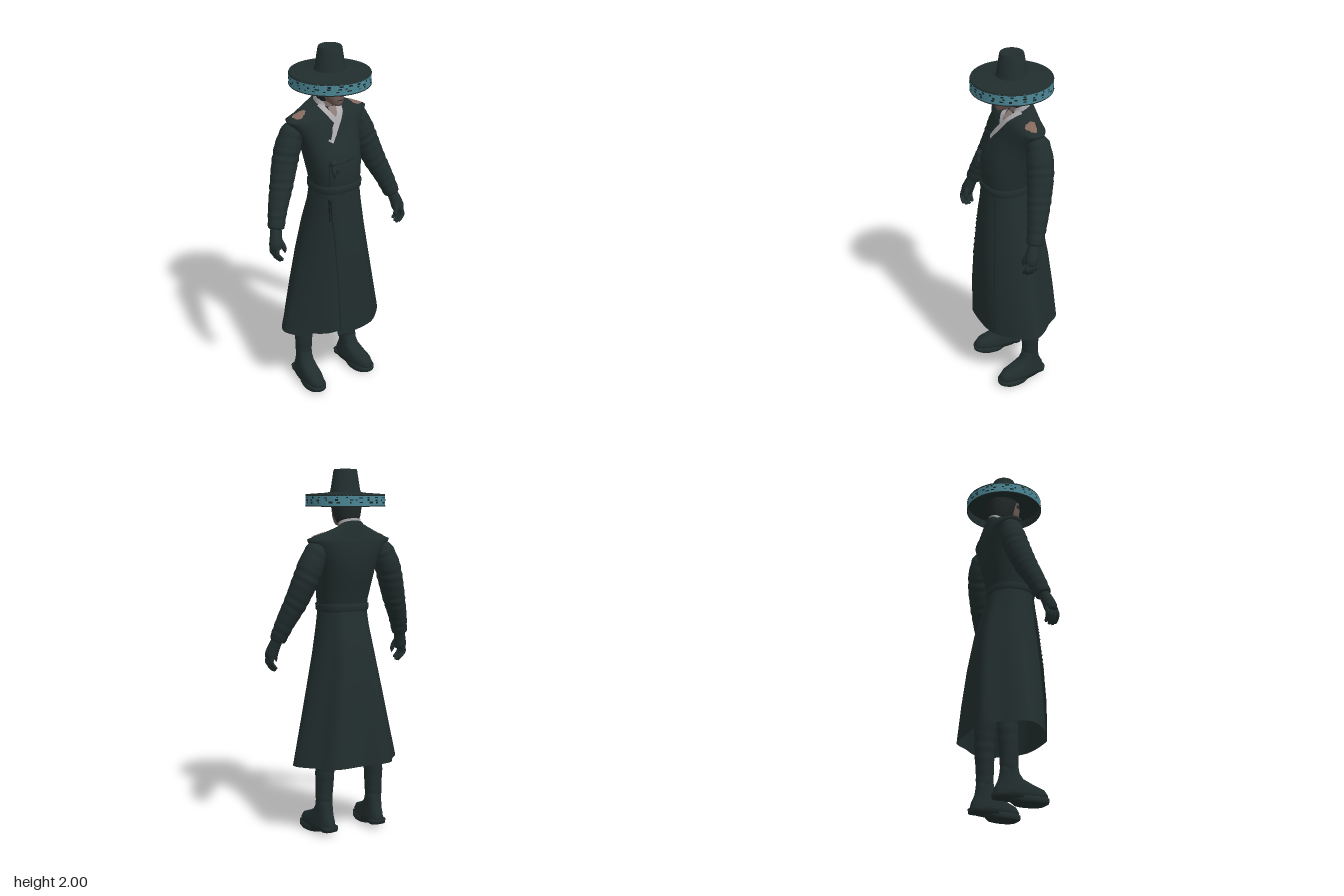
import * as THREE from 'three';
import { mergeVertices, toCreasedNormals } from 'three/addons/utils/BufferGeometryUtils.js';

const mat = (name, color) => new THREE.MeshStandardMaterial({ name, color, side: THREE.DoubleSide });
const RAD = Math.PI / 180;

// Indexed grid of points, W per row, with seams welded and smooth normals
function grid(pos, rows, W) {
  const idx = [];
  for (let j = 0; j < rows - 1; j++) for (let i = 0; i < W - 1; i++) {
    const a = j * W + i;
    idx.push(a, a + W, a + 1, a + 1, a + W, a + W + 1);
  }
  const g = new THREE.BufferGeometry();
  g.setAttribute('position', new THREE.Float32BufferAttribute(pos, 3));
  g.setIndex(idx);
  const m = mergeVertices(g, 1e-5);
  m.computeVertexNormals();
  return m;
}

// Loft through rounded sections [y, halfWidth, zFront, zBack, tilt]; a0/a1 are [bottom, top] angles.
// An optional closed plan curve shapes the bottom and blends into the rounded section at the top.
function loft(rows, { n = 2.3, a0 = [-90, -90], a1 = [270, 270], seg = 48, plan = null } = {}) {
  const pos = [], pw = (v) => Math.sign(v) * Math.abs(v) ** (2 / n);
  rows.forEach(([y, hw, zf, zb, tilt = 0], j) => {
    const v = j / (rows.length - 1), zc = (zf + zb) / 2, d = (zf - zb) / 2;
    const s = THREE.MathUtils.lerp(a0[0], a0[1], v), e = THREE.MathUtils.lerp(a1[0], a1[1], v);
    for (let i = 0; i <= seg; i++) {
      const t = s + (e - s) * i / seg;
      const p = new THREE.Vector3(pw(Math.cos(t * RAD)), pw(Math.sin(t * RAD)), 0);
      if (plan) p.lerp(plan.getPoint((t / 360) % 1), 1 - v * v);
      pos.push(hw * p.x, y + tilt * d * p.y, zc + d * p.y);
    }
  });
  return grid(pos, rows.length, seg + 1);
}

// Tube through [x, y, z, radius] points, with optional uneven cloth wrinkles
function limb(pts, { seg = 40, sides = 18, wrinkle = 0, freq = 70 } = {}) {
  const curve = new THREE.CatmullRomCurve3(pts.map((p) => new THREE.Vector3(p[0], p[1], p[2])));
  const g = new THREE.TubeGeometry(curve, seg, 1, sides), P = g.attributes.position, v = new THREE.Vector3();
  for (let i = 0; i <= seg; i++) {
    const u = i / seg, c = curve.getPointAt(u), k = curve.getUtoTmapping(u) * (pts.length - 1);
    const a = Math.min(Math.floor(k), pts.length - 2);
    const r0 = THREE.MathUtils.lerp(pts[a][3], pts[a + 1][3], k - a);
    for (let j = 0; j <= sides; j++) {
      const q = i * (sides + 1) + j, turn = Math.sin(j / sides * 2 * Math.PI);
      const r = r0 * (1 + wrinkle * Math.sin(u * freq + 1.2 * turn) * (0.6 + 0.4 * Math.sin(u * 23)));
      v.fromBufferAttribute(P, q).sub(c).multiplyScalar(r).add(c);
      P.setXYZ(q, v.x, v.y, v.z);
    }
  }
  g.computeVertexNormals();
  return g;
}

// First surface point met by a ray
function cast(targets, origin, dir) {
  const hit = new THREE.Raycaster(origin, dir).intersectObjects(targets)[0];
  return hit ? hit.point : null;
}

// Strip laid on the front of the target meshes along an [x, y] path
function ribbon(path, width, targets, lift = 0.006, seg = 20) {
  const curve = new THREE.CatmullRomCurve3(path.map((p) => new THREE.Vector3(p[0], p[1], 0)));
  const pos = [], dir = new THREE.Vector3(0, 0, -1);
  let z = 0;
  for (let i = 0; i <= seg; i++) {
    const c = curve.getPoint(i / seg), d = curve.getTangent(i / seg);
    for (const s of [-0.5, 0, 0.5]) {
      const x = c.x - d.y * s * width, y = c.y + d.x * s * width;
      z = cast(targets, new THREE.Vector3(x, y, 1), dir)?.z ?? z;
      pos.push(x, y, z + lift);
    }
  }
  return grid(pos, seg + 1, 3);
}

export function createModel() {
  const root = new THREE.Group();
  const coat = mat('dark coat', 0x212d2d), seam = mat('dark seam', 0x1a2323), hair = mat('hair', 0x212828);
  const skin = mat('skin', 0x6e5a53), linen = mat('pale collar', 0xaaa8aa), teal = mat('teal band', 0x4b8796);
  const patch = mat('shoulder patch', 0x86695d), throat = mat('throat', 0x8a7a76);
  const add = (name, geo, m, parent = root) => {
    const mesh = new THREE.Mesh(geo, m);
    mesh.name = name;
    parent.add(mesh);
    return mesh;
  };

  // Coat: bodice, belt and flared skirt with a slit on its right front
  const bodice = add('bodice', loft([
    [1.24, .132, .155, -.085], [1.30, .14, .16, -.09], [1.38, .152, .153, -.112], [1.45, .162, .13, -.128],
    [1.52, .18, .09, -.135], [1.57, .208, .07, -.133], [1.61, .238, .053, -.128], [1.627, .246, .045, -.125],
    [1.645, .2, .035, -.12], [1.67, .135, .02, -.115, -.2], [1.69, .078, .01, -.11, -.4], [1.70, .066, 0, -.105, -.5],
  ], { n: 2.4 }), coat);
  add('belt', loft([[1.232, .135, .158, -.088], [1.238, .142, .167, -.094], [1.27, .144, .169, -.097],
    [1.276, .134, .156, -.086]], { n: 2.4 }), coat);
  // Hem plan: narrow sides, flat front, two broad folds behind
  const quarter = [[.91, .31], [.74, .61], [.45, .92]], rear = [[.92, -.27], [.74, -.57], [.52, -.96]];
  const flip = (list) => list.map(([x, z]) => [-x, z]).reverse();
  const plan = new THREE.CatmullRomCurve3([[1, 0], ...quarter, [0, 1], ...flip(quarter), [-1, 0], ...rear.map(([x, z]) => [-x, z]),
    [0, -.96], ...[...rear].reverse()].map(([x, z]) => new THREE.Vector3(x, z, 0)), true);
  const skirtRows = [[.39, .32, .212, -.216, -.03], [.6, .272, .21, -.202], [.8, .225, .203, -.183], [1, .178, .19, -.153],
    [1.15, .148, .172, -.11], [1.26, .132, .157, -.085]];
  const skirt = add('skirt', loft(skirtRows, { plan, a0: [140, 139], a1: [464, 496], seg: 80 }), coat);
  add('skirtUnderPanel', loft(skirtRows.map(([y, w, f, b]) => [y + .012, w * .94, f - .018, b + .018]),
    { plan, a0: [90, 110], a1: [152, 152], seg: 16 }), coat);
  add('skirtFrontEdge', ribbon([[-.098, 1.2], [-.09, .8], [-.078, .41]], .006, [skirt], .003), seam);
  for (const s of [1, -1]) {
    add('skirtSeam', ribbon([[s * .09, 1.2], [s * .135, .8], [s * .165, .41]], .004, [skirt], .003), seam);
  }

  // Crossed pale collar and coat lapels
  const innerCollar = add('innerCollar', loft([[1.62, .07, .005, -.1], [1.70, .063, 0, -.1, -.35],
    [1.722, .06, -.002, -.098, -.35]], { a0: [115, 115], a1: [425, 425] }), linen);
  const chest = [bodice, innerCollar];
  add('throatOpening', ribbon([[.006, 1.672], [.004, 1.60]], .05, chest, .002), throat);
  add('collarUnder', ribbon([[-.055, 1.69], [-.035, 1.65], [.0, 1.60]], .03, chest, .003), linen);
  add('collarOver', ribbon([[.06, 1.69], [.03, 1.635], [-.02, 1.57], [-.06, 1.51]], .034, chest, .004), linen);
  add('lapelOver', ribbon([[.085, 1.675], [.055, 1.63], [.01, 1.565], [-.05, 1.49], [-.1, 1.41]], .022, chest, .008), coat);
  add('lapelUnder', ribbon([[-.08, 1.675], [-.062, 1.63], [-.05, 1.58], [-.072, 1.53]], .022, chest, .011), coat);
  add('frontSeam', ribbon([[-.098, 1.41], [-.1, 1.34], [-.1, 1.28]], .006, [bodice], .003), seam);

  // Chest tie with a knot and hanging tails
  const tie = new THREE.Group();
  tie.name = 'chestTie';
  root.add(tie);
  add('tieLoop', ribbon([[-.1, 1.418], [-.02, 1.43], [.045, 1.438]], .038, [bodice], .014), coat, tie);
  add('tieLoopEdge', ribbon([[-.1, 1.398], [-.02, 1.41], [.045, 1.418]], .005, [bodice], .016), seam, tie);
  const knot = add('tieKnot', new THREE.SphereGeometry(.02, 16, 12), coat, tie);
  knot.position.set(-.085, 1.415, .148);
  add('tieTail', limb([[-.085, 1.41, .153, .012], [-.092, 1.37, .166, .013], [-.085, 1.33, .164, .001]], { seg: 12 }), coat, tie);
  add('tieTail', limb([[-.08, 1.41, .153, .011], [-.07, 1.38, .163, .012], [-.066, 1.355, .161, .001]], { seg: 12 }), coat, tie);

  // Arms, hands, legs and boots on both sides
  for (const s of [1, -1]) {
    const side = (pts) => pts.map(([x, y, z, r]) => [s * x, y, z, r]);
    add('sleeve', limb(side([[.165, 1.6, -.05, .03], [.202, 1.565, -.052, .06], [.235, 1.49, -.05, .071],
      [.268, 1.40, -.037, .07], [.309, 1.29, -.01, .063], [.356, 1.18, .024, .052], [.388, 1.085, .054, .043],
      [.39, 1.078, .056, .001]]), { seg: 100, wrinkle: .03, freq: 75 }), coat);
    const hand = new THREE.Group();
    hand.name = 'glove';
    root.add(hand);
    add('palm', limb(side([[.388, 1.09, .053, .03], [.4, 1.05, .07, .033], [.41, 1.01, .082, .036],
      [.414, .985, .086, .03], [.415, .975, .087, .001]]), { seg: 20 }), coat, hand);
    for (let i = 0; i < 4; i++) {
      const z = .055 + i * .018, low = i % 3 === 0 ? .012 : 0;
      add('finger', limb(side([[.415, 1.0, z, .012], [.422, .965, z + .005, .0125], [.41, .935 + low, z + .008, .011],
        [.392, .918 + low, z + .008, .009], [.386, .915 + low, z + .008, .001]]), { seg: 14, sides: 10 }), coat, hand);
    }
    add('thumb', limb(side([[.395, 1.045, .085, .014], [.382, 1.01, .104, .014], [.373, .98, .11, .012],
      [.37, .958, .108, .001]]), { seg: 12, sides: 10 }), coat, hand);

    add('leg', limb(side([[.1, .9, -.02, .07], [.135, .6, -.045, .064], [.152, .4, -.05, .055], [.157, .25, -.045, .049],
      [.159, .13, -.045, .043], [.16, .06, -.04, .042]]), { seg: 80, wrinkle: .03, freq: 85 }), coat);
    const boot = new THREE.Group();
    boot.name = 'boot';
    boot.position.x = s * .162;
    boot.rotation.y = s * .1;
    root.add(boot);
    add('bootUpper', loft([[.022, .001, .02, .01], [.022, .055, .155, -.125], [.05, .057, .162, -.128],
      [.078, .053, .142, -.122], [.1, .049, .085, -.11], [.125, .046, .03, -.1], [.155, .044, .008, -.094],
      [.19, .043, .002, -.09], [.195, .03, -.01, -.08]]), coat, boot);
    add('bootSole', loft([[0, .001, .07, .06], [0, .055, .145, -.02], [.012, .06, .165, -.035], [.034, .06, .168, -.05],
      [.036, .05, .15, -.04]]), coat, boot);
    add('bootHeel', loft([[.022, .001, -.09, -.1], [.022, .046, -.06, -.13], [.045, .05, -.05, -.134],
      [.047, .04, -.06, -.12]], { n: 2.8 }), coat, boot);

    // Irregular patch draped on the shoulder
    const g = new THREE.RingGeometry(0, 1, 18, 4), P = g.attributes.position, down = new THREE.Vector3(0, -1, 0);
    for (let i = 0; i < P.count; i++) {
      const a = Math.atan2(P.getY(i), P.getX(i)), w = 1 + .14 * Math.sin(3 * a + 1) + .07 * Math.sin(7 * a);
      const x = s * .181 + P.getX(i) * w * .037, z = -.026 - P.getY(i) * w * .028;
      P.setXYZ(i, x, (cast([bodice], new THREE.Vector3(x, 3, z), down)?.y ?? 1.63) + .004, z);
    }
    g.computeVertexNormals();
    add('shoulderPatch', g, patch);
  }

  // Head
  add('neck', limb([[0, 1.6, -.055, .05], [0, 1.68, -.045, .048], [0, 1.77, -.02, .05]], { seg: 10 }), throat);
  const head = add('head', loft([[1.694, .001, .065, .05], [1.698, .022, .084, .02], [1.715, .04, .09, -.03],
    [1.745, .056, .09, -.07], [1.78, .064, .088, -.085], [1.82, .07, .09, -.088], [1.86, .07, .085, -.088]]), skin);
  add('hair', loft([[1.70, .045, -.005, -.07], [1.72, .058, .035, -.085], [1.75, .07, .053, -.093], [1.79, .077, .062, -.096],
    [1.83, .079, .075, -.097], [1.865, .078, .08, -.096]]), hair);
  add('headband', ribbon([[-.062, 1.818], [0, 1.822], [.062, 1.818]], .022, [head], .004), hair);
  add('nose', limb([[0, 1.795, .082, .006], [0, 1.77, .092, .009], [0, 1.757, .095, .011], [0, 1.748, .088, .001]],
    { seg: 12, sides: 10 }), skin);
  add('mouth', ribbon([[-.018, 1.729], [0, 1.731], [.018, 1.729]], .005, [head], .003), hair);
  for (const s of [1, -1]) {
    add('eye', ribbon([[s * .014, 1.784], [s * .025, 1.786], [s * .037, 1.784]], .008, [head], .003), hair);
    add('eyebrow', ribbon([[s * .012, 1.798], [s * .028, 1.803], [s * .043, 1.8]], .006, [head], .004), hair);
  }

  // Hat: crown and wide flat brim
  const profile = [[0, 1.85], [.212, 1.85], [.217, 1.858], [.214, 1.866], [.1, 1.874], [.084, 1.878], [.08, 1.89],
    [.064, 1.992], [.06, 2], [.055, 1.998], [0, 1.998]].map((p) => new THREE.Vector2(...p));
  const hat = new THREE.Group();
  hat.name = 'hat';
  hat.position.z = -.003;
  root.add(hat);
  add('hatCrownAndBrim', toCreasedNormals(new THREE.LatheGeometry(profile, 64), .5), coat, hat);

  // Teal band around the brim, with a dark lining, rim and rows of pattern blocks
  const arc = (r, h, a = 0, len = Math.PI * 2) => new THREE.CylinderGeometry(r, r, h, Math.ceil(len * 11), 1, true, a, len);
  add('brimBand', arc(.216, .058), teal, hat).position.y = 1.832;
  add('bandLining', arc(.212, .058), coat, hat).position.y = 1.832;
  const rim = add('bandRim', new THREE.TorusGeometry(.215, .003, 6, 72), coat, hat);
  rim.rotation.x = Math.PI / 2;
  rim.position.y = 1.803;
  let seed = 7;
  const rnd = () => (seed = (seed * 16807) % 2147483647) / 2147483647;
  for (let i = 0; i < 24; i++) {
    const a = i / 24 * Math.PI * 2;
    for (let k = 0; k < 3; k++) {
      const mark = add('bandMark', arc(.2175, .004 + rnd() * .006, a + rnd() * .14, .04 + rnd() * .07), seam, hat);
      mark.position.y = 1.82 + k * .013 + rnd() * .003;
    }
  }
  return root;
}
